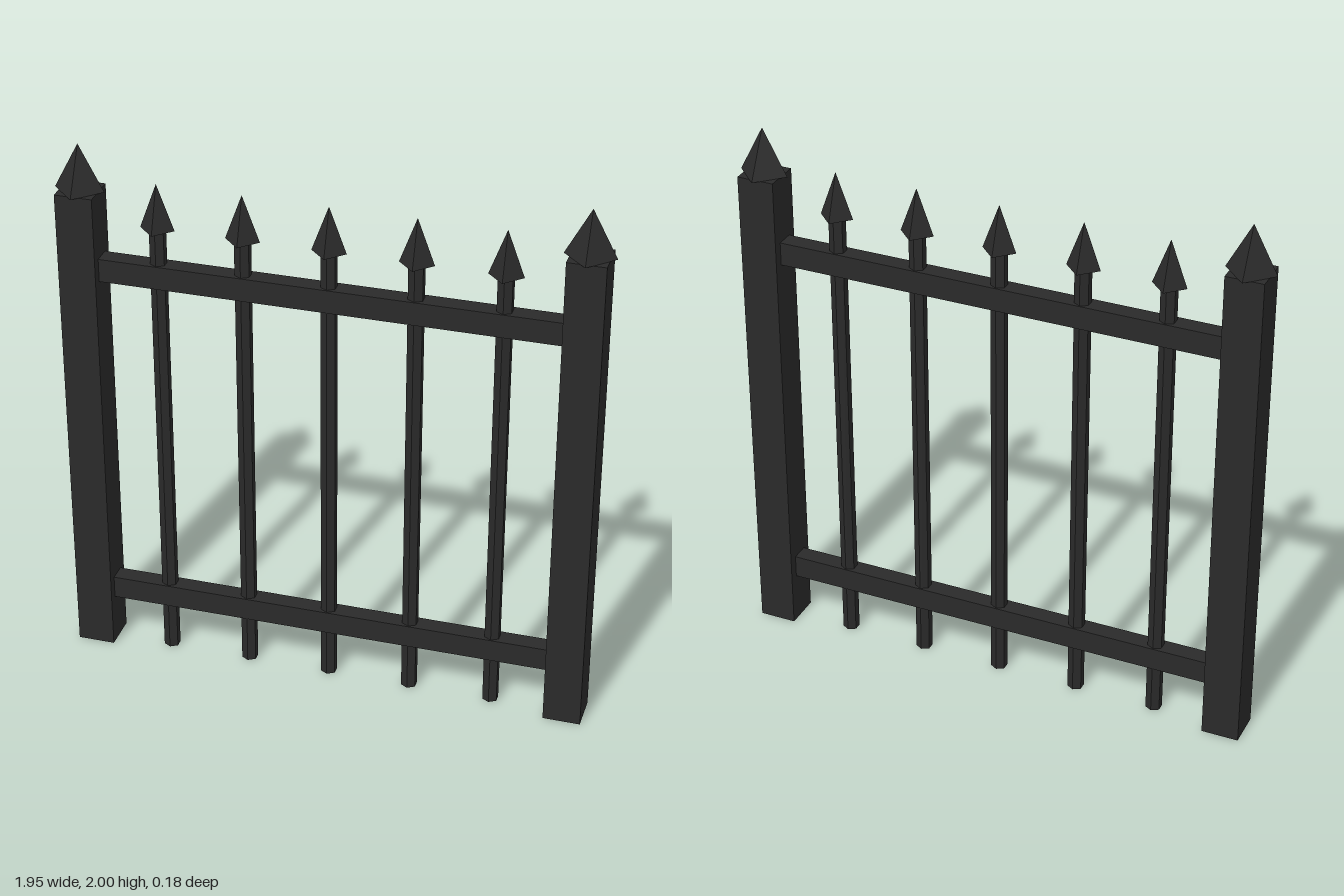
import * as THREE from 'three';

export function createModel() {
  const group = new THREE.Group();
  const iron = new THREE.MeshStandardMaterial({ color: 0x2a2a2a });
  iron.name = 'dark iron';

  // Adds a part whose base sits at height y
  const add = (name, geometry, x, y, height) => {
    const flat = geometry.toNonIndexed();
    flat.computeVertexNormals();
    const mesh = new THREE.Mesh(flat, iron);
    mesh.name = name;
    mesh.position.set(x, y + height / 2, 0);
    group.add(mesh);
  };

  // Square end posts with four-sided spikes turned to a diamond
  for (const [side, x] of [['left', 0.887], ['right', -0.887]]) {
    add(side + 'Post', new THREE.BoxGeometry(0.136, 1.83, 0.136), x, 0, 1.83);
    add(side + 'PostSpike', new THREE.ConeGeometry(0.09, 0.17, 4), x, 1.83, 0.17);
  }

  // Horizontal rails between the posts
  add('lowerRail', new THREE.BoxGeometry(1.64, 0.086, 0.067), 0, 0.187, 0.086);
  add('upperRail', new THREE.BoxGeometry(1.64, 0.086, 0.067), 0, 1.502, 0.086);

  // Thin upright bars with spear tips
  for (let i = -2; i <= 2; i++) {
    const x = i * 0.305;
    add('bar' + (i + 3), new THREE.CylinderGeometry(0.03, 0.03, 1.72, 6), x, 0, 1.72);
    add('spearTip' + (i + 3), new THREE.ConeGeometry(0.062, 0.168, 4), x, 1.718, 0.168);
  }
  return group;
}
